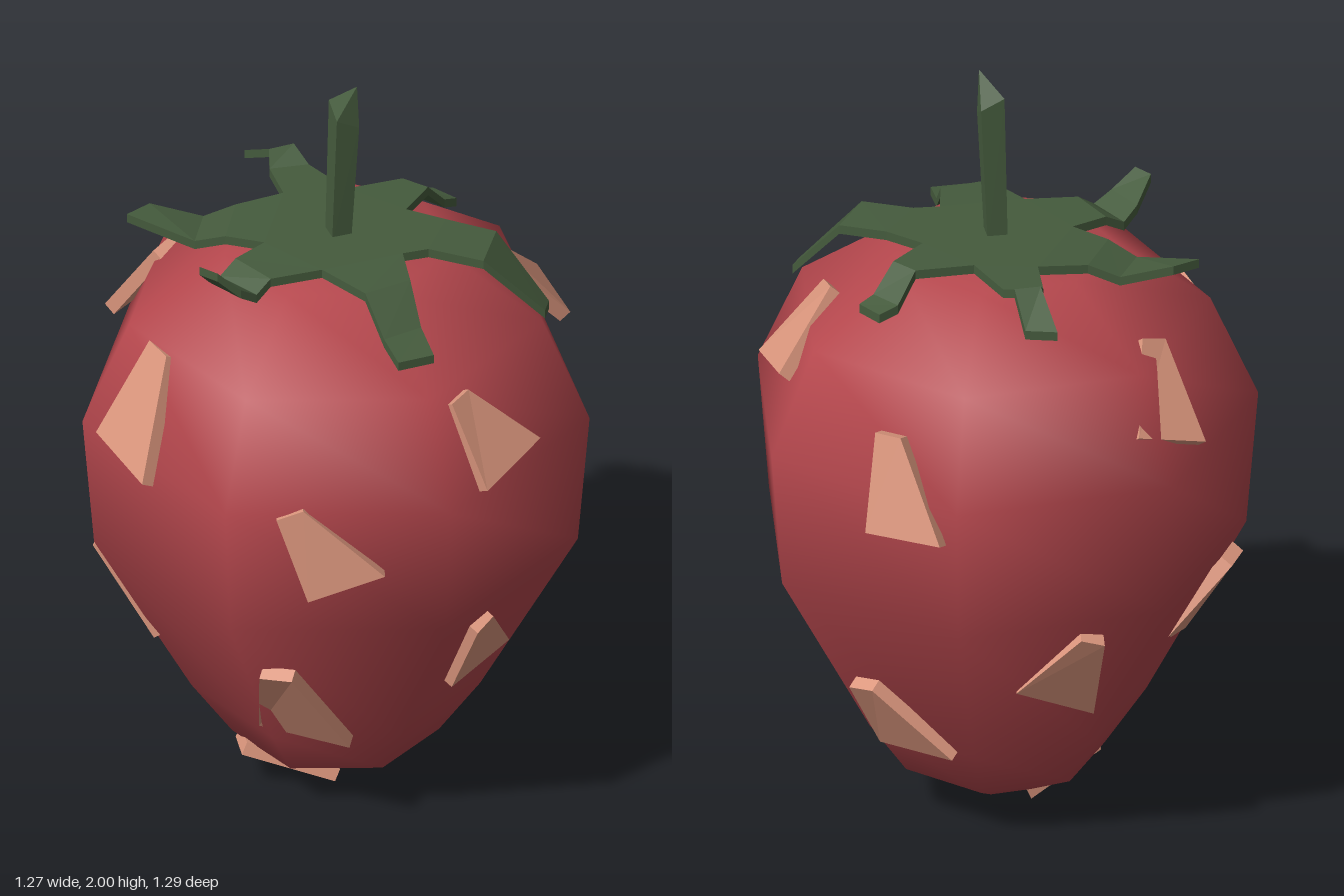
import * as THREE from 'three';

const flesh = new THREE.MeshStandardMaterial({ color: 0xb5474d });
flesh.name = 'berry red';
const green = new THREE.MeshStandardMaterial({ color: 0x455b3d });
green.name = 'leaf green';
const tan = new THREE.MeshStandardMaterial({ color: 0xdb967d });
tan.name = 'seed tan';

const V = (p) => new THREE.Vector3(...p);

function fromTriangles(points) {
  const geo = new THREE.BufferGeometry().setFromPoints(points);
  geo.computeVertexNormals();
  return geo;
}

// Bent slab: a row of [left, right] pairs on the outer face, thickened by an offset
function slab(pairs, offset) {
  const out = [];
  const quad = (a, b, c, d) => out.push(a, b, c, a, c, d);
  const rings = pairs.map(([a, b]) => [a, b, b.clone().add(offset), a.clone().add(offset)]);
  for (let i = 0; i < rings.length - 1; i++) {
    const r = rings[i], s = rings[i + 1];
    for (let k = 0; k < 4; k++) {
      const n = (k + 1) % 4;
      quad(r[k], r[n], s[n], s[k]);
    }
  }
  const first = rings[0], last = rings[rings.length - 1];
  quad(first[3], first[2], first[1], first[0]);
  quad(last[0], last[1], last[2], last[3]);
  return fromTriangles(out);
}

// Seed plate: two corners of the wide end, then two of the narrow end
function seed(corners) {
  let [a, b, c, d] = corners.map(V);
  const middle = a.clone().add(b).add(c).add(d).divideScalar(4);
  const normal = b.clone().sub(a).add(c).sub(d).cross(d.clone().sub(a).add(c).sub(b)).normalize();
  if (normal.dot(middle.sub(new THREE.Vector3(0, 0.75, 0))) < 0) {
    [a, b, c, d] = [b, a, d, c];
    normal.negate();
  }
  return slab([[a, b], [d, c]], normal.multiplyScalar(-0.035));
}

export function createModel() {
  const group = new THREE.Group();
  const add = (name, geo, mat) => {
    const mesh = new THREE.Mesh(geo, mat);
    mesh.name = name;
    group.add(mesh);
  };

  // Seven-sided fruit body
  const profile = [[0, 0.04], [0.12, 0.043], [0.265, 0.12], [0.37, 0.27], [0.62, 0.73],
    [0.65, 1.09], [0.53, 1.36], [0.285, 1.53], [0, 1.535]];
  add('fruit', new THREE.LatheGeometry(profile.map((p) => new THREE.Vector2(...p)), 7), flesh);

  // Leaf crown: notches between leaves, clockwise from above as [x, z]
  const notches = [[-0.055, -0.185], [0.12, -0.16], [0.2, 0.03], [0.05, 0.185], [-0.135, 0.13], [-0.19, -0.1]];
  // Each leaf: rows of [left x, left z, right x, right z, height]
  const leaves = [
    [[0.05, -0.29, 0.125, -0.28, 1.56], [0.055, -0.36, 0.14, -0.345, 1.49], [0.08, -0.405, 0.155, -0.385, 1.475]],
    [[0.23, -0.16, 0.25, -0.015, 1.562], [0.36, -0.18, 0.39, -0.04, 1.55], [0.51, -0.17, 0.52, -0.125, 1.39]],
    [[0.265, 0.125, 0.19, 0.23, 1.555], [0.33, 0.2, 0.27, 0.29, 1.475], [0.4, 0.275, 0.335, 0.345, 1.455]],
    [[-0.05, 0.275, -0.17, 0.225, 1.56], [-0.07, 0.315, -0.19, 0.275, 1.53], [-0.095, 0.355, -0.198, 0.32, 1.56],
      [-0.14, 0.395, -0.195, 0.385, 1.62]],
    [[-0.24, 0.135, -0.28, -0.01, 1.555], [-0.32, 0.145, -0.35, 0.03, 1.525], [-0.5, 0.16, -0.47, 0.09, 1.565]],
    [[-0.27, -0.19, -0.19, -0.25, 1.56], [-0.29, -0.23, -0.245, -0.28, 1.59], [-0.39, -0.3, -0.32, -0.34, 1.52]],
  ];
  const down = new THREE.Vector3(0, -0.024, 0);
  leaves.forEach((rows, i) => {
    const n = notches[i], m = notches[(i + 1) % 6];
    const pairs = [[0.02, 0, 0.02, 0, 1.562], [...n, ...m, 1.562], ...rows]
      .map(([ax, az, bx, bz, y]) => [V([ax, y, az]), V([bx, y, bz])]);
    add('leaf' + (i + 1), slab(pairs, down), green);
  });

  // Four-sided stem with a slanted top and off-centre point
  const ring = (x, y, r, slant) => [0, 1, 2, 3].map((k) => {
    const a = k * Math.PI / 2;
    return new THREE.Vector3(x + r * Math.sin(a), y - slant * Math.sin(a), r * Math.cos(a));
  });
  const low = ring(0.008, 1.54, 0.036, 0), high = ring(0.024, 1.91, 0.042, 0.03);
  const tip = new THREE.Vector3(0.06, 2, 0);
  const stem = [];
  for (let k = 0; k < 4; k++) {
    const n = (k + 1) % 4;
    stem.push(low[k], low[n], high[n], low[k], high[n], high[k], high[k], high[n], tip);
  }
  add('stem', fromTriangles(stem), green);

  // Seeds spread around the fruit
  const seeds = [
    [[-0.45, 1.1, 0.45], [-0.255, 1.08, 0.595], [-0.27, 1.355, 0.42], [-0.34, 1.355, 0.37]],
    [[0.2, 0.85, 0.59], [0.37, 0.92, 0.5], [0.18, 1.105, 0.575], [0.12, 1.08, 0.605]],
    [[0.56, 1.11, 0.3], [0.615, 1.17, 0.105], [0.47, 1.34, 0.22], [0.455, 1.33, 0.285]],
    [[-0.555, 1.22, -0.18], [-0.64, 1.165, -0.01], [-0.485, 1.39, 0.035], [-0.46, 1.41, -0.03]],
    [[-0.36, 0.43, 0.3], [-0.415, 0.48, 0.13], [-0.53, 0.67, 0.26], [-0.515, 0.68, 0.33]],
    [[-0.035, 0.3, 0.375], [0.2, 0.28, 0.345], [0.12, 0.55, 0.515], [0.04, 0.55, 0.535]],
    [[0.405, 0.42, 0.18], [0.475, 0.47, -0.01], [0.52, 0.66, 0.18], [0.505, 0.64, 0.24]],
    [[0.33, 1.27, -0.485], [0.48, 1.24, -0.36], [0.37, 1.42, -0.235], [0.31, 1.44, -0.29]],
    [[-0.255, 1.01, -0.62], [-0.045, 1, -0.645], [-0.03, 1.25, -0.58], [-0.1, 1.25, -0.57]],
    [[-0.11, 0.26, -0.36], [0.12, 0.24, -0.345], [0.13, 0.44, -0.465], [0.06, 0.45, -0.465]],
    [[-0.3, 0.5, -0.35], [-0.42, 0.41, -0.185], [-0.51, 0.66, -0.265], [-0.47, 0.68, -0.31]],
    [[-0.1, 0, 0], [0.06, 0.02, 0.13], [-0.15, 0.1, 0.23], [-0.2, 0.1, 0.16]],
  ];
  seeds.forEach((c, i) => add('seed' + (i + 1), seed(c), tan));

  return group;
}
